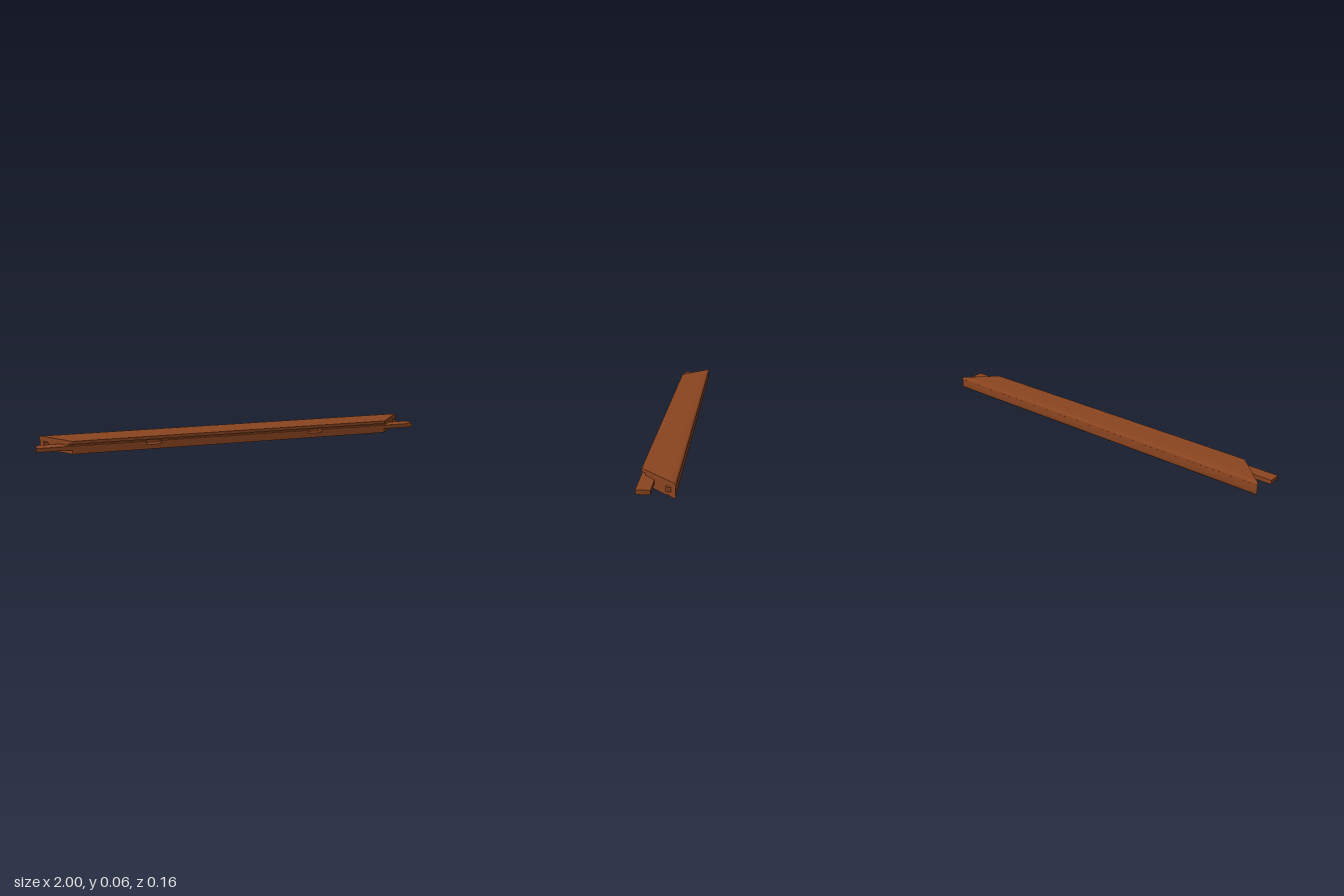
import * as THREE from 'three';
import { toCreasedNormals } from 'three/addons/utils/BufferGeometryUtils.js';

const SPLIT = -0.03; // z where the front and back halves of the rail meet

// Half length of the rail at depth z, giving the mitred ends
const mitre = (z) => 0.9075 - 0.97 * z;

// Extrude a [z, y] profile along x; null ends are cut to the mitre
function strip(points, x0, x1) {
  const shape = new THREE.Shape(points.map(([z, y]) => new THREE.Vector2(-z, y)));
  const geo = new THREE.ExtrudeGeometry(shape, { depth: 1, bevelEnabled: false });
  geo.rotateY(Math.PI / 2);
  const p = geo.attributes.position;
  for (let i = 0; i < p.count; i++) {
    const m = mitre(p.getZ(i));
    p.setX(i, p.getX(i) < 0.5 ? x0 ?? -m : x1 ?? m);
  }
  return toCreasedNormals(geo, 0.6);
}

// Front half: panel groove, with an optional deeper slot below it
function frontProfile(slot) {
  const cut = slot
    ? [[0.08, 0.024], [0.04, 0.024], [0.04, 0.041], [0.062, 0.041]]
    : [[0.08, 0.041], [0.062, 0.041]];
  return [[SPLIT, 0], [0.08, 0], ...cut,
    [0.062, 0.05], [0.08, 0.05], [0.08, 0.065], [SPLIT, 0.065]];
}

// Back half: moulded outer edge and a shallow groove underneath
function backProfile(pocket) {
  const d = pocket ? 0.015 : 0.003;
  return [[SPLIT, 0], [SPLIT, 0.065],
    [-0.069, 0.065], [-0.074, 0.0635], [-0.078, 0.06], [-0.0795, 0.056], [-0.079, 0.052],
    [-0.076, 0.05], [-0.0765, 0.035], [-0.078, 0.012], [-0.0765, 0.007], [-0.073, 0.002], [-0.068, 0],
    [-0.05, 0], [-0.05, d], [-0.039, d], [-0.039, 0]];
}

export function createModel() {
  const model = new THREE.Group();
  model.name = 'mitredRail';
  const wood = new THREE.MeshStandardMaterial({ color: 0x8b4520 });
  wood.name = 'brown wood';

  const add = (name, geo, parent = model) => {
    const mesh = new THREE.Mesh(geo, wood);
    mesh.name = name;
    parent.add(mesh);
    return mesh;
  };

  // Rail halves, cut into lengths so every second length holds a recess
  const buildHalf = (name, profile, cuts) => {
    const half = new THREE.Group();
    half.name = name;
    const stops = [null, ...cuts, null];
    for (let i = 0; i < stops.length - 1; i++) {
      const recessed = i % 2 === 1;
      add(recessed ? 'recessedLength' : 'plainLength', strip(profile(recessed), stops[i], stops[i + 1]), half);
    }
    model.add(half);
  };
  buildHalf('frontHalf', frontProfile, [-0.468, -0.396, 0.394, 0.464]);
  buildHalf('backHalf', backProfile, [-0.91, -0.855, -0.028, 0.028, 0.855, 0.91]);

  // Tenon and locating peg at each end
  for (const [side, s] of [['left', 1], ['right', -1]]) {
    add(side + 'Tenon', new THREE.BoxGeometry(0.22, 0.02, 0.061))
      .position.set(s * 0.89, 0.031, 0.0495);
    add(side + 'Peg', new THREE.BoxGeometry(0.05, 0.02, 0.022))
      .position.set(s * 0.938, 0.031, -0.046);
  }
  return model;
}
